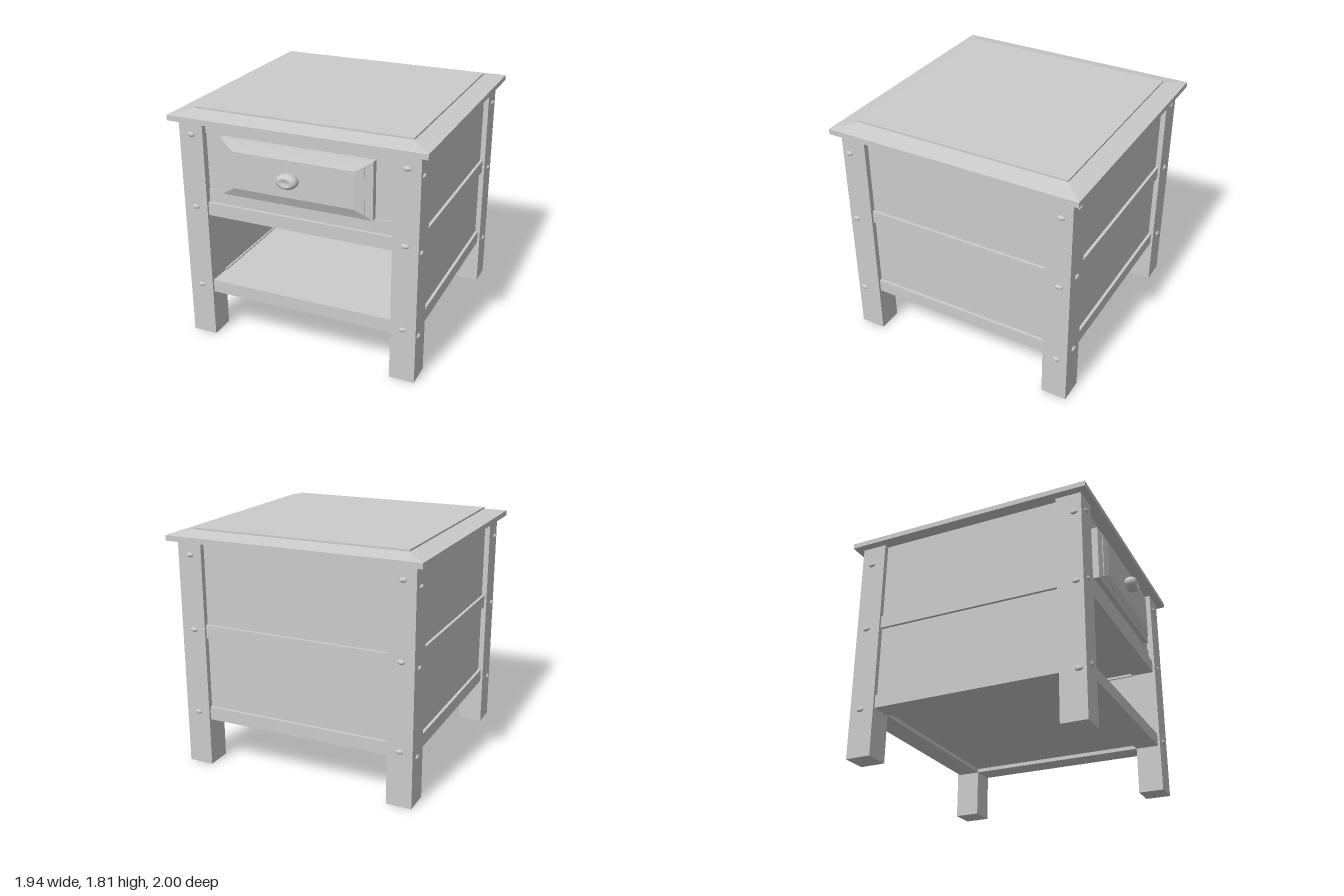
import * as THREE from 'three';

const material = new THREE.MeshStandardMaterial({ color: 0xcccccc });
const CZ = -0.03; // middle of the cabinet in depth

export function createModel() {
  const model = new THREE.Group();
  model.name = 'endTable';

  const add = (name, geometry, x = 0, y = 0, z = 0) => {
    const mesh = new THREE.Mesh(geometry, material);
    mesh.name = name;
    mesh.position.set(x, y, z);
    model.add(mesh);
    return mesh;
  };

  // Box given by its limits on each axis
  const box = (name, x0, x1, y0, y1, z0, z1) =>
    add(name, new THREE.BoxGeometry(x1 - x0, y1 - y0, z1 - z0), (x0 + x1) / 2, (y0 + y1) / 2, (z0 + z1) / 2);

  // Stacked rectangles [halfWidth, halfHeight, z], closed at both ends
  const loft = (rings) => {
    const corners = rings.map(([w, h, z]) => [[-w, -h, z], [w, -h, z], [w, h, z], [-w, h, z]]);
    const points = [];
    const quad = (a, b, c, d) => points.push(...a, ...b, ...c, ...a, ...c, ...d);
    for (let r = 0; r < corners.length - 1; r++) {
      for (let i = 0; i < 4; i++) {
        const j = (i + 1) % 4;
        quad(corners[r][i], corners[r][j], corners[r + 1][j], corners[r + 1][i]);
      }
    }
    const first = corners[0];
    quad(first[3], first[2], first[1], first[0]);
    quad(...corners[corners.length - 1]);
    const geometry = new THREE.BufferGeometry();
    geometry.setAttribute('position', new THREE.Float32BufferAttribute(points, 3));
    geometry.computeVertexNormals();
    return geometry;
  };

  // Table top: square edge, shallow bevel and a raised centre
  const top = loft([
    [0.97, 0.97, 1.73], [0.97, 0.97, 1.77], [0.825, 0.825, 1.797], [0.825, 0.825, 1.81],
  ]);
  top.rotateX(-Math.PI / 2);
  add('tableTop', top, 0, 0, CZ);

  // Legs
  for (const [x0, x1] of [[-0.91, -0.72], [0.72, 0.91]]) {
    for (const [z0, z1] of [[-0.94, -0.745], [0.69, 0.885]]) box('leg', x0, x1, 0, 1.73, z0, z1);
  }

  // Side panels, each with a middle and a bottom rail
  const rails = [[1.01, 1.11], [0.365, 0.465]];
  for (const s of [-1, 1]) {
    const side = (name, inner, outer, y0, y1) =>
      box(name, Math.min(s * inner, s * outer), Math.max(s * inner, s * outer), y0, y1, -0.745, 0.69);
    side('sidePanel', 0.735, 0.87, 0.4, 1.73);
    for (const [y0, y1] of rails) side('sideRail', 0.72, 0.892, y0, y1);
  }

  // Back panel and the rails of front and back
  box('backPanel', -0.72, 0.72, 0.4, 1.73, -0.90, -0.76);
  for (const [y0, y1] of rails) {
    box('backRail', -0.72, 0.72, y0, y1, -0.922, -0.745);
    box('frontRail', -0.72, 0.72, y0, y1, 0.69, 0.867);
  }

  // Shelf and floor of the drawer bay
  box('shelf', -0.72, 0.72, 0.395, 0.455, -0.745, 0.69);
  box('drawerBayFloor', -0.72, 0.72, 1.03, 1.09, -0.745, 0.69);

  // Recessed front behind the drawer
  box('drawerBacking', -0.72, 0.72, 1.21, 1.64, 0.70, 0.832);
  box('drawerTopRail', -0.72, 0.72, 1.64, 1.73, 0.70, 0.842);
  box('drawerBottomRail', -0.72, 0.72, 1.11, 1.21, 0.70, 0.842);

  // Drawer front with two bevelled steps
  add('drawerFront', loft([
    [0.578, 0.213, 0.82], [0.578, 0.213, 0.882], [0.523, 0.176, 0.897],
    [0.523, 0.176, 0.902], [0.46, 0.138, 0.918],
  ]), 0, 1.425, 0);

  // Oval knob with a dished end
  const profile = [
    [0.045, 0.9], [0.062, 0.915], [0.077, 0.93], [0.082, 0.95], [0.08, 0.972],
    [0.07, 0.988], [0.055, 0.998], [0.042, 1.0], [0.03, 0.994], [0, 0.991],
  ].map(([r, h]) => new THREE.Vector2(r, h));
  const knob = new THREE.LatheGeometry(profile, 32);
  knob.rotateX(Math.PI / 2);
  knob.scale(1, 0.67, 1);
  add('drawerKnob', knob, -0.023, 1.427, 0);

  // Oval studs on the outer faces of the legs
  const studGeometry = new THREE.SphereGeometry(1, 16, 10);
  const stud = (x, y, z, rx, rz) => add('legStud', studGeometry, x, y, z).scale.set(rx, 0.018, rz);
  for (const s of [-1, 1]) {
    for (const y of [1.63, 1.07, 0.42]) {
      for (const z of [0.885, -0.94]) stud(s * 0.813, y, z, 0.028, 0.015);
    }
    for (const y of [1.575, 1.015, 0.362]) {
      for (const z of [0.83, -0.855]) stud(s * 0.91, y, z, 0.015, 0.028);
    }
  }

  return model;
}
